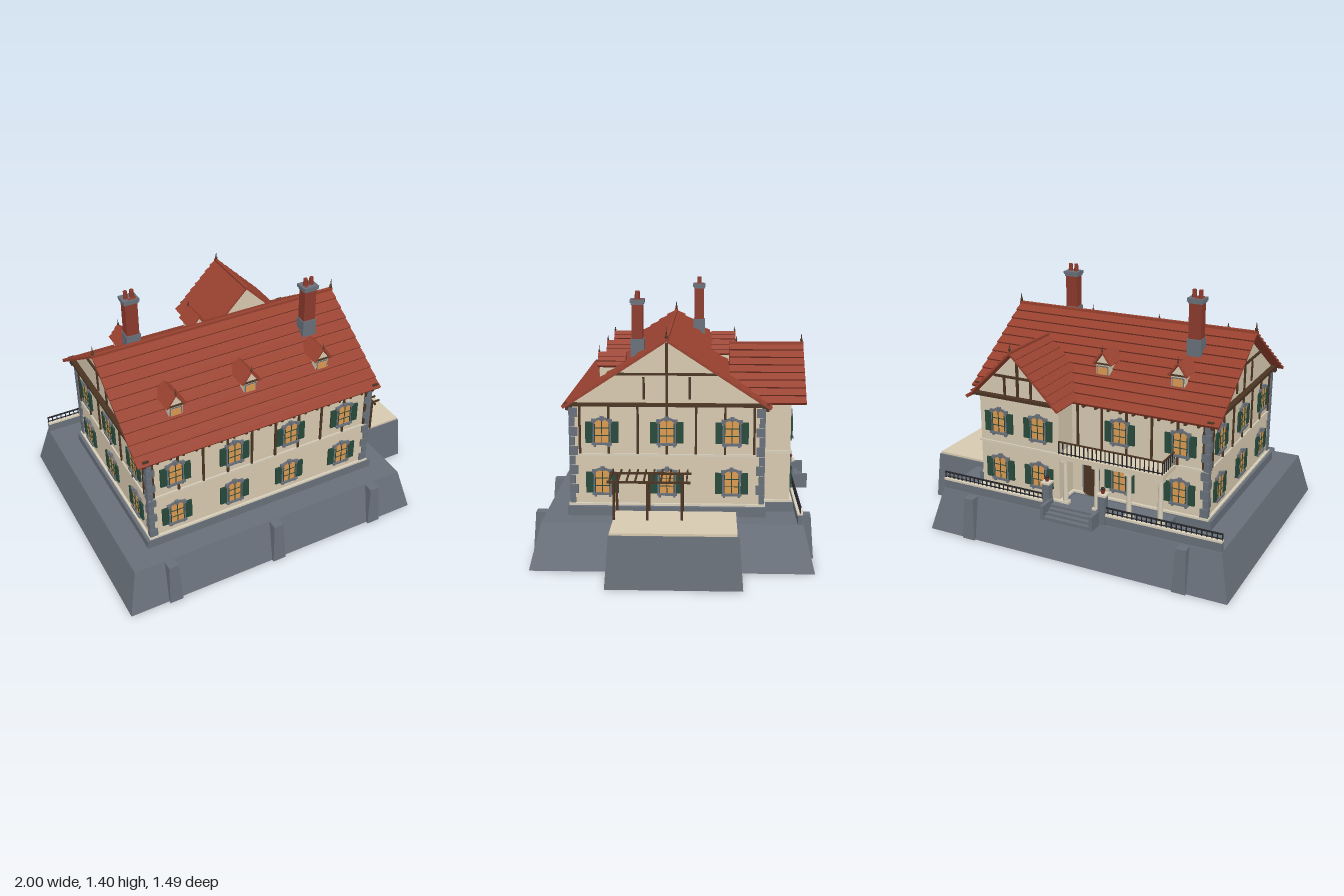
import * as THREE from 'three';

const mat = (name, color) => Object.assign(new THREE.MeshStandardMaterial({ color }), { name });

export function createModel() {
  const stone = mat('stone', 0x69707a), cream = mat('cream plaster', 0xd8cab0), tile = mat('roof tile', 0x98412f);
  const brick = mat('brick', 0x8c3a2c), timber = mat('timber', 0x4a3422), green = mat('shutter green', 0x28493b);
  const amber = mat('amber glass', 0xdc9a50), iron = mat('iron', 0x24262a), trim = mat('pale trim', 0xd9cfba);

  const root = new THREE.Group();
  root.name = 'manor';
  const group = (name, parent = root, x = 0, y = 0, z = 0, ry = 0) => {
    const g = new THREE.Group();
    g.name = name; g.position.set(x, y, z); g.rotation.y = ry;
    parent.add(g);
    return g;
  };
  const add = (parent, name, geo, m, x = 0, y = 0, z = 0) => {
    const mesh = new THREE.Mesh(geo, m);
    mesh.name = name; mesh.position.set(x, y, z);
    parent.add(mesh);
    return mesh;
  };
  // Box from its limits on each axis
  const box = (parent, name, m, x0, x1, y0, y1, z0, z1) =>
    add(parent, name, new THREE.BoxGeometry(x1 - x0, y1 - y0, z1 - z0), m, (x0 + x1) / 2, (y0 + y1) / 2, (z0 + z1) / 2);
  // Battered block: b and t are [x0, x1, z0, z1] at bottom and top
  const batter = (parent, name, m, y0, y1, b, t) => {
    const g = new THREE.BoxGeometry(1, 1, 1).toNonIndexed(), p = g.attributes.position;
    for (let i = 0; i < p.count; i++) {
      const up = p.getY(i) > 0, r = up ? t : b;
      p.setXYZ(i, p.getX(i) < 0 ? r[0] : r[1], up ? y1 : y0, p.getZ(i) < 0 ? r[2] : r[3]);
    }
    g.computeVertexNormals();
    return add(parent, name, g, m);
  };
  const poly = pts => new THREE.Shape(pts.map(p => new THREE.Vector2(...p)));
  const extrude = (shape, depth) => new THREE.ExtrudeGeometry(shape, { depth, bevelEnabled: false, curveSegments: 6 });

  // Gable roof of undercut tile courses, running along local z
  const roofGeo = (half, eave, ridge, length, rows, d = 0.01) => {
    const len = Math.hypot(half, ridge - eave), nx = (ridge - eave) / len * d, ny = half / len * d;
    const right = [];
    for (let i = 0; i < rows; i++) {
      const x = half * (1 - i / rows), y = eave + (ridge - eave) * i / rows;
      right.push([x, y], [x + nx, y + ny]);
    }
    const left = right.map(([x, y]) => [-x, y]).reverse();
    return extrude(poly([...right, [0, ridge], ...left, [-half + 0.005, eave - 0.006], [0, ridge - 0.008], [half - 0.005, eave - 0.006]]), length);
  };
  const houseGeo = (half, y0, shoulder, peak, length) =>
    extrude(poly([[-half, y0], [half, y0], [half, shoulder], [0, peak], [-half, shoulder]]), length);
  const finial = (parent, x, y, z, h) => {
    add(parent, 'finial', new THREE.ConeGeometry(h * 0.1, h, 6), timber, x, y + h / 2, z);
    add(parent, 'finialBall', new THREE.SphereGeometry(h * 0.14, 6, 4), timber, x, y + h * 0.3, z);
  };

  // Terraced stone base
  const base = group('base');
  batter(base, 'plinth', stone, 0, 0.24, [-1, 0.77, -0.725, 0.73], [-0.94, 0.71, -0.665, 0.67]);
  batter(base, 'sideTerrace', stone, 0, 0.268, [0.5, 1, -0.355, 0.32], [0.5, 0.98, -0.335, 0.3]);
  box(base, 'terraceFloor', cream, 0.63, 0.975, 0.262, 0.28, -0.325, 0.295);
  for (const x of [-0.745, -0.118, 0.51]) for (const s of [1, -1]) {
    if (s < 0 && x === -0.118) continue;
    const o = s > 0 ? 0 : 0.008, z = v => s > 0 ? [0.55, v] : [-v + o, -0.55];
    batter(base, 'buttress', stone, 0, 0.237, [x - 0.038, x + 0.038, ...z(0.745)], [x - 0.027, x + 0.027, ...z(0.727)]);
  }
  box(base, 'foundation', stone, -0.81, 0.595, 0.23, 0.29, -0.48, 0.548);
  box(base, 'wingFoundation', stone, -0.025, 0.495, 0.23, 0.29, -0.63, -0.4);
  box(base, 'porchFloor', stone, -0.62, 0, 0.23, 0.285, -0.635, -0.4);

  // Main house and back wing
  const C = 0.033, house = group('house');
  const body = add(house, 'mainWalls', houseGeo(0.497, 0.29, 0.825, 1.148, 1.34), cream, -0.78, 0, C);
  body.rotation.y = Math.PI / 2;
  const mainRoof = add(house, 'mainRoof', roofGeo(0.533, 0.815, 1.162, 1.44, 10), tile, -0.84, 0, C);
  mainRoof.rotation.y = Math.PI / 2;
  box(house, 'ridgeCap', tile, -0.845, 0.605, 1.155, 1.172, C - 0.009, C + 0.009);
  add(house, 'wingWalls', houseGeo(0.24, 0.29, 0.85, 1.088, 0.315), cream, 0.235, 0, -0.61);
  add(house, 'wingRoof', roofGeo(0.276, 0.824, 1.1, 0.395, 8), tile, 0.235, 0, -0.685);
  box(house, 'wingRidgeCap', tile, 0.227, 0.243, 1.092, 1.108, -0.687, -0.288);
  for (const x of [-0.834, 0.597]) finial(house, x, 1.16, C, 0.07);
  finial(house, 0.235, 1.1, -0.675, 0.06);
  for (const [y, h, o] of [[0.288, 0.013, 0.014], [0.555, 0.012, 0.008]]) {
    box(house, 'stringCourse', trim, -0.78 - o, 0.56 + o, y, y + h, -0.464 - o, 0.53 + o);
    box(house, 'wingStringCourse', trim, -0.005 - o, 0.475 + o, y, y + h, -0.61 - o, -0.45);
  }
  // Rafter tails under the eaves
  for (let i = 0; i < 20; i++) {
    const x = -0.8 + i * 0.0716;
    box(house, 'rafterTail', timber, x - 0.006, x + 0.006, 0.795, 0.82, 0.52, 0.555);
    if (x < -0.06 || x > 0.52) box(house, 'rafterTail', timber, x - 0.006, x + 0.006, 0.795, 0.82, -0.49, -0.455);
  }
  // Alternating corner stones
  const quoins = (x, z, sx, sz, top) => {
    for (let i = 0; i < 10; i++) {
      const a = i % 2 ? 0.03 : 0.045, b = i % 2 ? 0.045 : 0.03, y = 0.302 + i * 0.051;
      if (y + 0.046 > top) break;
      add(house, 'quoin', new THREE.BoxGeometry(a, 0.047, b), stone, x + sx * (0.009 - a / 2), y + 0.024, z + sz * (0.009 - b / 2));
    }
  };
  for (const [x, sx] of [[-0.78, -1], [0.56, 1]]) for (const [z, sz] of [[0.53, 1], [-0.464, -1]]) quoins(x, z, sx, sz, 0.83);

  // Arched windows with stone surround and shutters
  const arch = (w, y0, spring, top) => {
    const s = new THREE.Shape();
    s.moveTo(-w, y0); s.lineTo(w, y0); s.lineTo(w, spring);
    s.quadraticCurveTo(w * 0.75, top, 0, top); s.quadraticCurveTo(-w * 0.75, top, -w, spring);
    return s;
  };
  const surroundGeo = extrude(arch(0.048, -0.062, 0.048, 0.076), 0.01);
  const glassGeo = extrude(arch(0.039, -0.055, 0.044, 0.064), 0.003);
  const addWindow = (face, x, y) => {
    const w = group('window', face, x, y);
    add(w, 'surround', surroundGeo, stone);
    add(w, 'glass', glassGeo, amber, 0, 0, 0.009);
    for (const bx of [-0.037, 0, 0.037]) box(w, 'mullion', green, bx - 0.002, bx + 0.002, -0.055, bx ? 0.045 : 0.063, 0.011, 0.015);
    for (const by of [-0.018, 0.022]) box(w, 'glazingBar', green, -0.038, 0.038, by - 0.002, by + 0.002, 0.011, 0.014);
    box(w, 'sill', stone, -0.052, 0.052, -0.068, -0.056, 0, 0.02);
    box(w, 'keystone', stone, -0.01, 0.01, 0.06, 0.083, 0, 0.016);
    for (const s of [-1, 1]) {
      add(w, 'shutter', new THREE.BoxGeometry(0.037, 0.112, 0.01), green, s * 0.067, -0.002, 0.008);
      add(w, 'archStone', new THREE.BoxGeometry(0.02, 0.018, 0.014), stone, s * 0.044, 0.058, 0.007);
      add(w, 'sillBracket', new THREE.BoxGeometry(0.012, 0.012, 0.014), stone, s * 0.038, -0.073, 0.007);
    }
  };
  const LOW = 0.415, HIGH = 0.683;
  const post = (face, x, y0, y1, w = 0.012) => box(face, 'timberPost', timber, x - w / 2, x + w / 2, y0, y1, -0.005, 0.008);
  const beam = (face, x0, x1, y, h = 0.012, out = 0.01) => box(face, 'timberBeam', timber, x0, x1, y - h / 2, y + h / 2, -0.005, out);

  const front = group('frontFace', house, 0, 0, 0.53);
  for (let i = 0; i < 10; i++) post(front, -0.755 + i * 0.1428, 0.566, 0.82);
  for (const x of [-0.63, -0.29, 0.05, 0.39]) for (const y of [LOW, HIGH]) addWindow(front, x, y);

  // Both gable ends
  for (const s of [1, -1]) {
    const f = group('gableFace', house, s > 0 ? 0.56 : -0.78, 0, C, s * Math.PI / 2);
    for (let i = -3; i <= 3; i++) post(f, i * 0.15, 0.566, 0.83);
    for (const x of [-0.335, 0, 0.335]) for (const y of [LOW, HIGH]) addWindow(f, x, y);
    beam(f, -0.525, 0.525, 0.828, 0.016, 0.03);
    beam(f, -0.265, 0.265, 0.985);
    post(f, 0, 0.83, 1.145, 0.014);
    for (const x of [-0.118, 0.118]) post(f, x, 0.855, 0.97);
  }
  // Wing gable
  const wing = group('wingFace', house, 0.235, 0, -0.61, Math.PI);
  for (const x of [-0.12, 0.12]) for (const y of [LOW, HIGH]) addWindow(wing, x, y);
  beam(wing, -0.265, 0.265, 0.832, 0.016, 0.03);
  beam(wing, -0.14, 0.14, 0.945);
  post(wing, 0, 0.83, 1.08, 0.014);
  for (const x of [-0.08, 0.08]) post(wing, x, 0.84, 0.94);
  // Back wall behind the balcony
  const back = group('backFace', house, 0, 0, -0.464, Math.PI);
  for (let i = 0; i < 6; i++) post(back, 0.755 - i * 0.1428, 0.566, 0.82);
  for (const x of [0.63, 0.29]) for (const y of [LOW, HIGH]) addWindow(back, x, y);
  box(back, 'doorSurround', stone, 0.07, 0.17, 0.29, 0.49, 0, 0.01);
  box(back, 'door', timber, 0.08, 0.16, 0.29, 0.48, 0.008, 0.014);

  // Dormers
  const dormer = (x, s) => {
    const d = group('dormer', house, x, 0, C, s > 0 ? 0 : Math.PI);
    add(d, 'dormerWalls', houseGeo(0.038, 0.9, 0.995, 1.045, 0.13), cream, 0, 0, 0.233);
    add(d, 'dormerRoof', roofGeo(0.053, 0.992, 1.062, 0.148, 3, 0.008), tile, 0, 0, 0.227);
    box(d, 'dormerBeam', timber, -0.052, 0.052, 0.99, 0.998, 0.355, 0.37);
    box(d, 'dormerSurround', stone, -0.034, 0.034, 0.928, 0.982, 0.362, 0.366);
    box(d, 'dormerGlass', amber, -0.028, 0.028, 0.936, 0.976, 0.364, 0.369);
    finial(d, 0, 1.055, 0.37, 0.045);
  };
  for (const x of [-0.55, -0.12, 0.32]) dormer(x, 1);
  for (const x of [-0.55, -0.12]) dormer(x, -1);

  // Chimneys
  for (const [x, z, top] of [[-0.56, -0.118, 1.355], [0.338, 0.196, 1.345]]) {
    const c = group('chimney', house, x, 0, z);
    box(c, 'chimneyBase', stone, -0.04, 0.04, 0.98, 1.138, -0.035, 0.035);
    box(c, 'chimneyStack', brick, -0.035, 0.035, 1.13, top, -0.029, 0.029);
    box(c, 'chimneyCap', stone, -0.045, 0.045, top - 0.018, top, -0.038, 0.038);
    box(c, 'chimneyCapStep', stone, -0.04, 0.04, top - 0.028, top - 0.018, -0.033, 0.033);
    for (const s of [-1, 1]) add(c, 'chimneyPot', new THREE.CylinderGeometry(0.011, 0.014, 0.042, 8), brick, s * 0.018, top + 0.02, 0);
  }

  // Railing along x
  const railing = (parent, x0, x1, y0, y1, z, m, step) => {
    box(parent, 'topRail', m, x0, x1, y1 - 0.007, y1, z - 0.004, z + 0.004);
    box(parent, 'bottomRail', iron, x0, x1, y0 + 0.006, y0 + 0.01, z - 0.003, z + 0.003);
    const n = Math.round((x1 - x0) / step);
    for (let i = 0; i <= n; i++) {
      const x = x0 + 0.003 + (x1 - x0 - 0.006) * i / n;
      box(parent, 'baluster', iron, x - 0.0025, x + 0.0025, y0, y1, z - 0.0025, z + 0.0025);
    }
  };
  // Balcony on columns
  const balcony = group('balcony');
  box(balcony, 'balconySlab', cream, -0.605, -0.004, 0.542, 0.567, -0.63, -0.46);
  for (const x of [-0.585, -0.41, -0.225, -0.04]) {
    add(balcony, 'column', new THREE.CylinderGeometry(0.012, 0.015, 0.25, 10), trim, x, 0.415, -0.607);
    box(balcony, 'columnBase', trim, x - 0.02, x + 0.02, 0.284, 0.302, -0.627, -0.587);
    box(balcony, 'columnCapital', trim, x - 0.02, x + 0.02, 0.525, 0.543, -0.627, -0.587);
  }
  railing(balcony, -0.6, -0.006, 0.567, 0.64, -0.618, timber, 0.025);
  box(balcony, 'sideRail', timber, -0.602, -0.594, 0.633, 0.64, -0.62, -0.464);
  for (let i = 0; i < 6; i++) box(balcony, 'sideBaluster', iron, -0.6, -0.595, 0.567, 0.635, -0.6 + i * 0.025, -0.595 + i * 0.025);

  // Back parapet, entrance posts and steps
  const entrance = group('entrance');
  for (const [x0, x1] of [[-0.938, -0.28], [0.05, 0.708]]) {
    box(entrance, 'parapet', stone, x0, x1, 0.235, 0.29, -0.658, -0.637);
    box(entrance, 'parapetCap', trim, x0, x1, 0.29, 0.301, -0.662, -0.633);
    railing(entrance, x0, x1, 0.3, 0.338, -0.648, iron, 0.027);
  }
  for (const x of [-0.28, 0.05]) {
    box(entrance, 'gatePost', stone, x - 0.02, x + 0.02, 0.24, 0.4, -0.665, -0.625);
    box(entrance, 'gatePostCap', trim, x - 0.026, x + 0.026, 0.4, 0.411, -0.671, -0.619);
    add(entrance, 'urn', new THREE.CylinderGeometry(0.015, 0.008, 0.02, 8), brick, x, 0.421, -0.645);
    add(entrance, 'urnPlant', new THREE.SphereGeometry(0.011, 8, 6), iron, x, 0.436, -0.645);
  }
  for (const x of [-0.258, 0.028]) box(entrance, 'stepCheek', stone, x - 0.01, x + 0.01, 0.235, 0.315, -0.747, -0.64);
  for (let i = 0; i < 4; i++) box(entrance, 'step', stone, -0.25, 0.02, 0.235, 0.292 - i * 0.013, -0.667 - i * 0.025, -0.63);

  // Pergola over the side terrace
  const pergola = group('pergola');
  for (const x of [0.61, 0.773]) {
    box(pergola, 'pergolaBeam', timber, x - 0.005, x + 0.005, 0.47, 0.481, -0.095, 0.325);
    for (const z of [0.29, 0.122, -0.05]) box(pergola, 'pergolaPost', timber, x - 0.006, x + 0.006, 0.27, 0.472, z - 0.006, z + 0.006);
  }
  for (let i = 0; i < 10; i++) {
    const z = -0.075 + i * 0.0427;
    box(pergola, 'pergolaSlat', timber, 0.58, 0.81, 0.48, 0.49, z - 0.004, z + 0.004);
  }
  return root;
}
